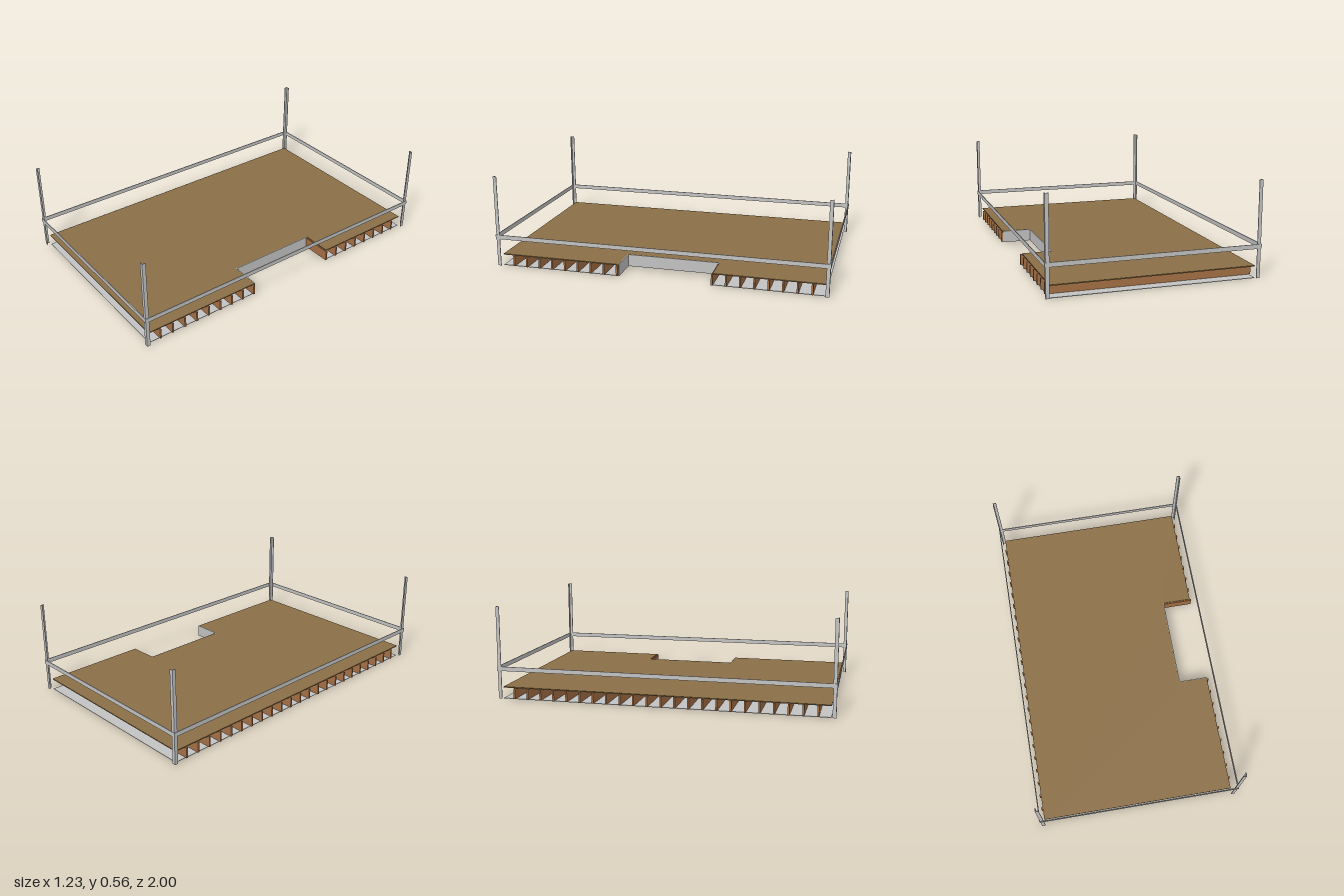
import * as THREE from 'three';

export function createModel() {
  const group = new THREE.Group();
  const mat = (name, color) => {
    const m = new THREE.MeshStandardMaterial({ color });
    m.name = name;
    return m;
  };
  const plywood = mat('plywood', 0x8b6f47);
  const timber = mat('timber', 0xa57045);
  const steel = mat('steel', 0xc2c2c2);

  const add = (name, geometry, material) => {
    const mesh = new THREE.Mesh(geometry, material);
    mesh.name = name;
    group.add(mesh);
    return mesh;
  };
  // Box given by its minimum and maximum corners
  const block = (name, material, x0, x1, y0, y1, z0, z1) =>
    add(name, new THREE.BoxGeometry(x1 - x0, y1 - y0, z1 - z0), material)
      .position.set((x0 + x1) / 2, (y0 + y1) / 2, (z0 + z1) / 2);

  // Floor outline with a stair opening on one side
  const left = -0.59, right = 0.585, back = -0.975, front = 0.97;
  const notchX = 0.406, notchBack = -0.332, notchFront = 0.232;
  const outline = [
    [left, back], [right, back], [right, notchBack], [notchX, notchBack],
    [notchX, notchFront], [right, notchFront], [right, front], [left, front],
  ];
  const sheet = (name, material, y0, y1) => {
    const shape = new THREE.Shape(outline.map(([x, z]) => new THREE.Vector2(x, -z)));
    const geometry = new THREE.ExtrudeGeometry(shape, { depth: y1 - y0, bevelEnabled: false });
    geometry.rotateX(-Math.PI / 2);
    geometry.translate(0, y0, 0);
    add(name, geometry, material);
  };
  sheet('floorDeck', plywood, 0.067, 0.073);
  sheet('ceilingPanel', steel, 0, 0.003);

  // Joists across the width, shortened at the opening
  for (let i = 0; i < 23; i++) {
    const z = -0.902 + i * 0.0818;
    const inNotch = z > notchBack + 0.01 && z < notchFront;
    block('joist', timber, -0.6, inNotch ? notchX - 0.004 : 0.595, 0.003, 0.067, z - 0.005, z + 0.005);
  }

  // Lining of the opening
  block('openingSideLining', steel, notchX - 0.003, notchX + 0.001, 0, 0.0735, notchBack, notchFront);
  block('openingFrontLining', steel, notchX, right, 0, 0.0735, notchFront - 0.001, notchFront + 0.003);

  // Angle-section corner posts
  const px = 0.611, pz = 0.997, leg = 0.021, t = 0.004;
  for (const sx of [-1, 1]) {
    for (const sz of [-1, 1]) {
      const angle = [[0, 0], [leg, 0], [leg, t], [t, t], [t, leg], [0, leg]];
      const shape = new THREE.Shape(
        angle.map(([a, b]) => new THREE.Vector2(sx * (px - a), -sz * (pz - b))));
      const geometry = new THREE.ExtrudeGeometry(shape, { depth: 0.555, bevelEnabled: false });
      geometry.rotateX(-Math.PI / 2);
      geometry.translate(0, 0.005, 0);
      add('cornerPost', geometry, steel);
    }
  }

  // Flat rails around the posts
  for (const s of [-1, 1]) {
    const a = s * 0.6125, b = s * 0.9975;
    block('sideRail', steel, a - 0.0025, a + 0.0025, 0.174, 0.2, -0.995, 0.995);
    block('endRail', steel, -0.615, 0.615, 0.174, 0.2, b - 0.0025, b + 0.0025);
  }
  return group;
}
